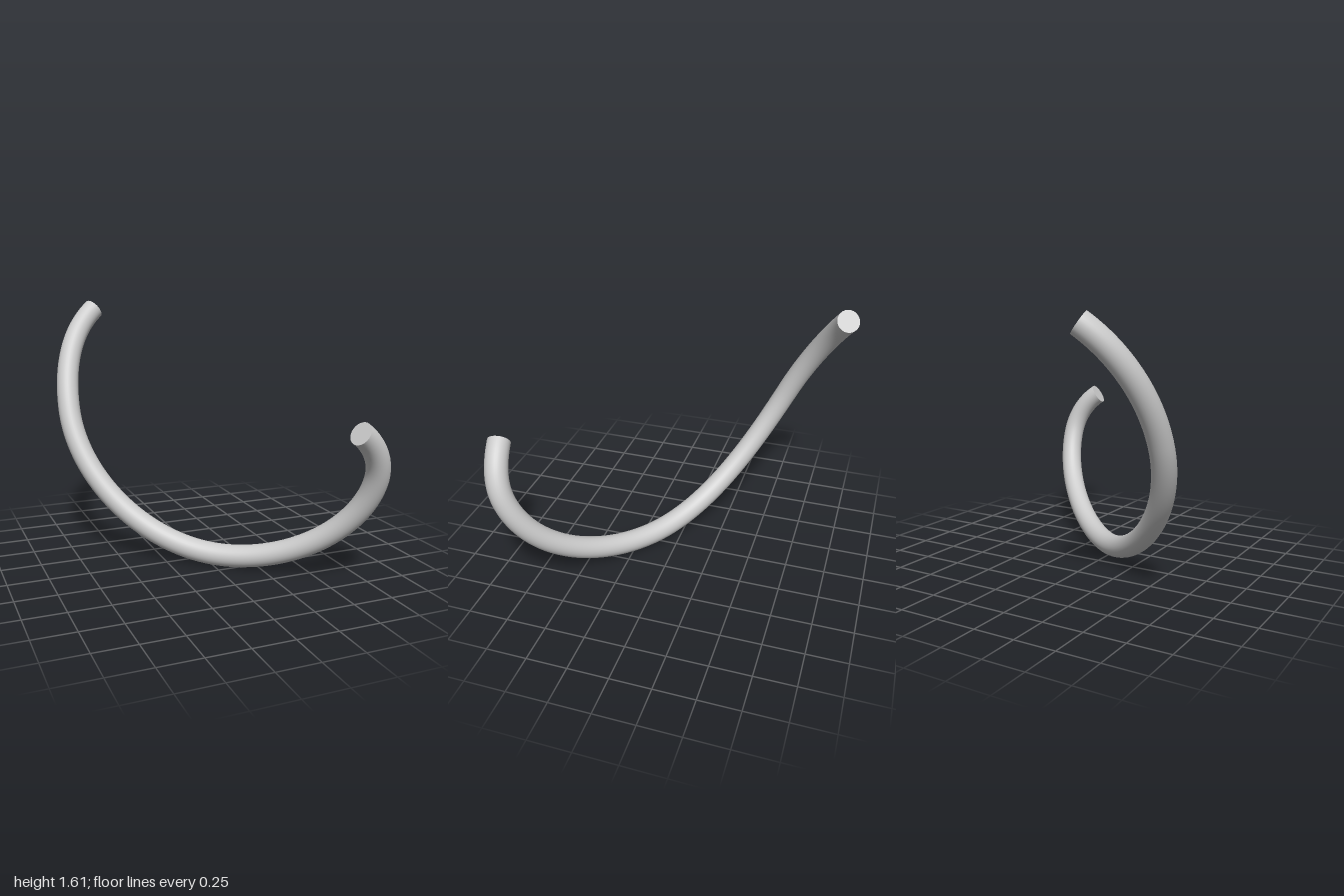
import * as THREE from 'three';

const RADIUS = 0.07;
const SIDES = 32;

// Knots of the centre line: point, direction of travel, handle length before and after
const KNOTS = [
  { at: [-0.442, 1.553, -0.938], dir: [-0.74, -0.58, 0.34], before: 0, after: 0.25 },
  { at: [-0.715, 0.92, -0.575], dir: [0, -1, 0.48], before: 0.26, after: 0.43 },
  { at: [0.06, 0.073, 0.19], dir: [1, 0, 0.8], before: 0.39, after: 0.35 },
  { at: [0.715, 0.66, 0.845], dir: [0, 1, 0.38], before: 0.315, after: 0.12 },
  { at: [0.545, 0.957, 0.926], dir: [-0.82, 0.54, 0.18], before: 0.125, after: 0 },
];

// Point on a knot's tangent line, a given distance along its direction
const along = ({ at, dir }, s) => new THREE.Vector3(...at).addScaledVector(new THREE.Vector3(...dir), s);

export function createModel() {
  const group = new THREE.Group();
  group.name = 'curvedRod';
  const material = new THREE.MeshStandardMaterial({ color: 0xcccccc });

  // Smooth twisted hook, from the tall back end to the short front end
  const path = new THREE.CurvePath();
  for (let i = 0; i < KNOTS.length - 1; i++) {
    const a = KNOTS[i];
    const b = KNOTS[i + 1];
    path.add(new THREE.CubicBezierCurve3(along(a, 0), along(a, a.after), along(b, -b.before), along(b, 0)));
  }

  const rod = new THREE.Mesh(new THREE.TubeGeometry(path, 120, RADIUS, SIDES), material);
  rod.name = 'rod';
  group.add(rod);

  // Flat discs closing both ends, facing outward along the path
  const addCap = (name, t, sign) => {
    const cap = new THREE.Mesh(new THREE.CircleGeometry(RADIUS, SIDES), material);
    cap.name = name;
    cap.position.copy(path.getPointAt(t));
    const outward = path.getTangentAt(t).multiplyScalar(sign);
    cap.quaternion.setFromUnitVectors(new THREE.Vector3(0, 0, 1), outward);
    group.add(cap);
  };
  addCap('backEndCap', 0, -1);
  addCap('frontEndCap', 1, 1);

  return group;
}
